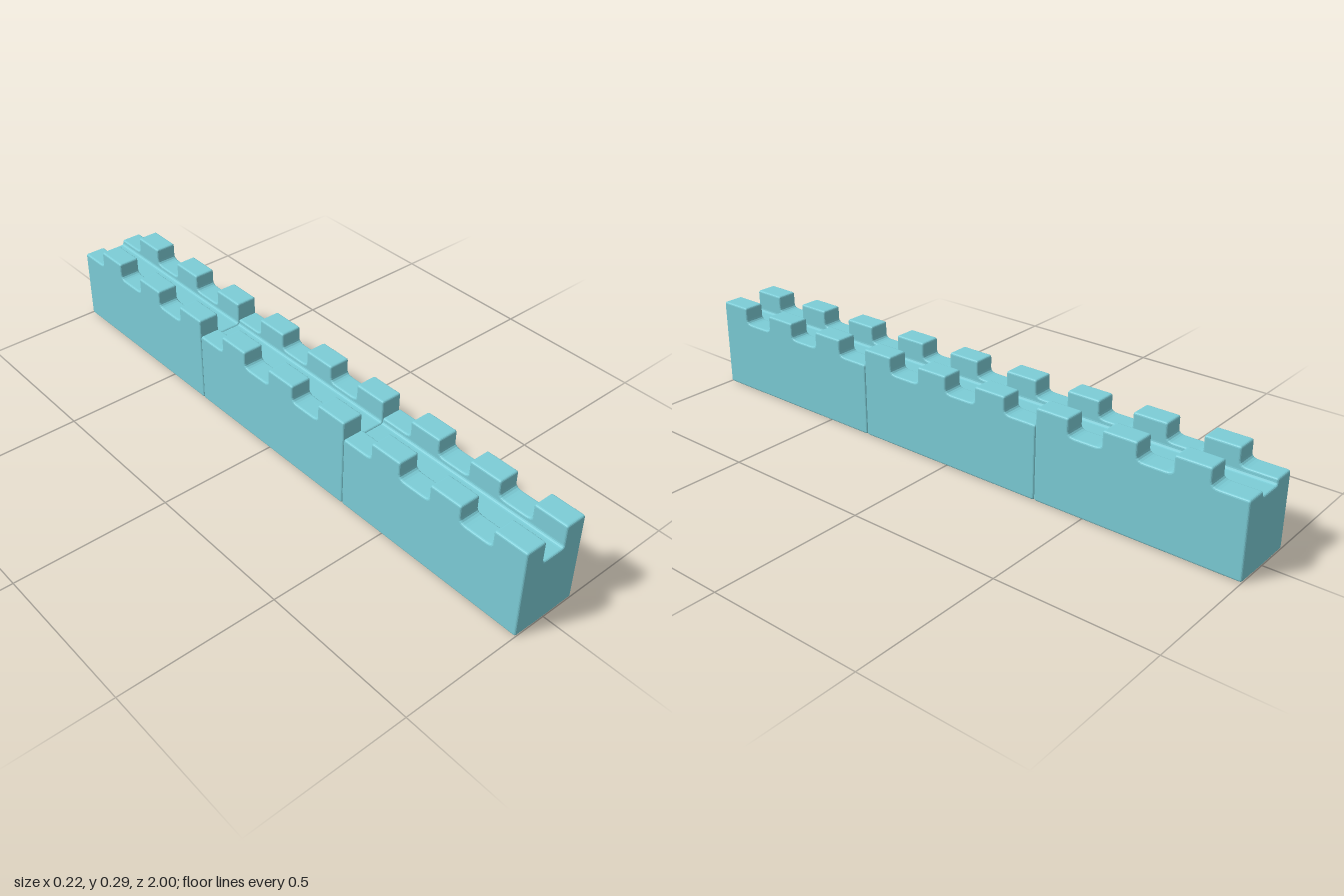
import * as THREE from 'three';

const LENGTH = 2 / 3;       // one block
const HALF = LENGTH / 2;
const PITCH = LENGTH / 3;   // one merlon plus one gap
const TOP = 0.295, SILL = 0.24, FLOOR = 0.222;
const OUTER = 0.11, INNER = 0.04;
const BEVEL = 0.006, ROUND = 0.008;

const material = new THREE.MeshStandardMaterial({ color: 0x7ccdd7 });

// Extrudes a shape to an exact depth, centred, with its end edges rounded inwards
function bevelled(shape, depth) {
  return new THREE.ExtrudeGeometry(shape, {
    depth: depth - 2 * BEVEL, bevelThickness: BEVEL, bevelSize: BEVEL,
    bevelOffset: -BEVEL, bevelSegments: 3, curveSegments: 4,
  }).translate(0, 0, BEVEL - depth / 2);
}

// Side outline of a crenellated wall: x runs along the block, a merlon at its front end
function wallShape() {
  const s = new THREE.Shape();
  const foot = 0.024, lift = 0.014;
  s.moveTo(-HALF + ROUND, 0);
  s.lineTo(HALF - ROUND, 0);
  s.quadraticCurveTo(HALF, 0, HALF, ROUND);
  for (let i = 0; i < 3; i++) {
    const front = HALF - i * PITCH, back = front - PITCH / 2, next = front - PITCH;
    s.lineTo(front, TOP - ROUND);
    s.quadraticCurveTo(front, TOP, front - ROUND, TOP);
    s.lineTo(back + ROUND, TOP);
    s.quadraticCurveTo(back, TOP, back, TOP - ROUND);
    s.lineTo(back, SILL + lift);
    s.quadraticCurveTo(back, SILL, back - foot, SILL);
    if (i < 2) {
      s.lineTo(next + foot, SILL);
      s.quadraticCurveTo(next, SILL, next, SILL + lift);
    }
  }
  s.lineTo(-HALF + ROUND, SILL);
  s.quadraticCurveTo(-HALF, SILL, -HALF, SILL - ROUND);
  s.lineTo(-HALF, ROUND);
  s.quadraticCurveTo(-HALF, 0, -HALF + ROUND, 0);
  return s;
}

// Cross-section of the middle, with the walkway floor curving up to the walls
function coreShape() {
  const s = new THREE.Shape();
  const w = INNER + 0.016, r = 0.01;
  s.moveTo(-w, 0);
  s.lineTo(w, 0);
  s.lineTo(w, FLOOR + r);
  s.lineTo(INNER, FLOOR + r);
  s.quadraticCurveTo(INNER, FLOOR, INNER - r, FLOOR);
  s.lineTo(-INNER + r, FLOOR);
  s.quadraticCurveTo(-INNER, FLOOR, -INNER, FLOOR + r);
  s.lineTo(-w, FLOOR + r);
  s.lineTo(-w, 0);
  return s;
}

export function createModel() {
  const model = new THREE.Group();
  model.name = 'castleWall';

  const wallGeometry = bevelled(wallShape(), OUTER - INNER).rotateY(-Math.PI / 2);
  const coreGeometry = bevelled(coreShape(), LENGTH);

  // Three equal blocks end to end
  for (let i = 0; i < 3; i++) {
    const block = new THREE.Group();
    block.name = 'wallBlock' + (i + 1);
    block.position.z = (1 - i) * LENGTH;

    const core = new THREE.Mesh(coreGeometry, material);
    core.name = 'walkway';
    block.add(core);

    for (const [name, side] of [['leftBattlement', 1], ['rightBattlement', -1]]) {
      const wall = new THREE.Mesh(wallGeometry, material);
      wall.name = name;
      wall.position.x = side * (INNER + OUTER) / 2;
      block.add(wall);
    }
    model.add(block);
  }
  return model;
}
